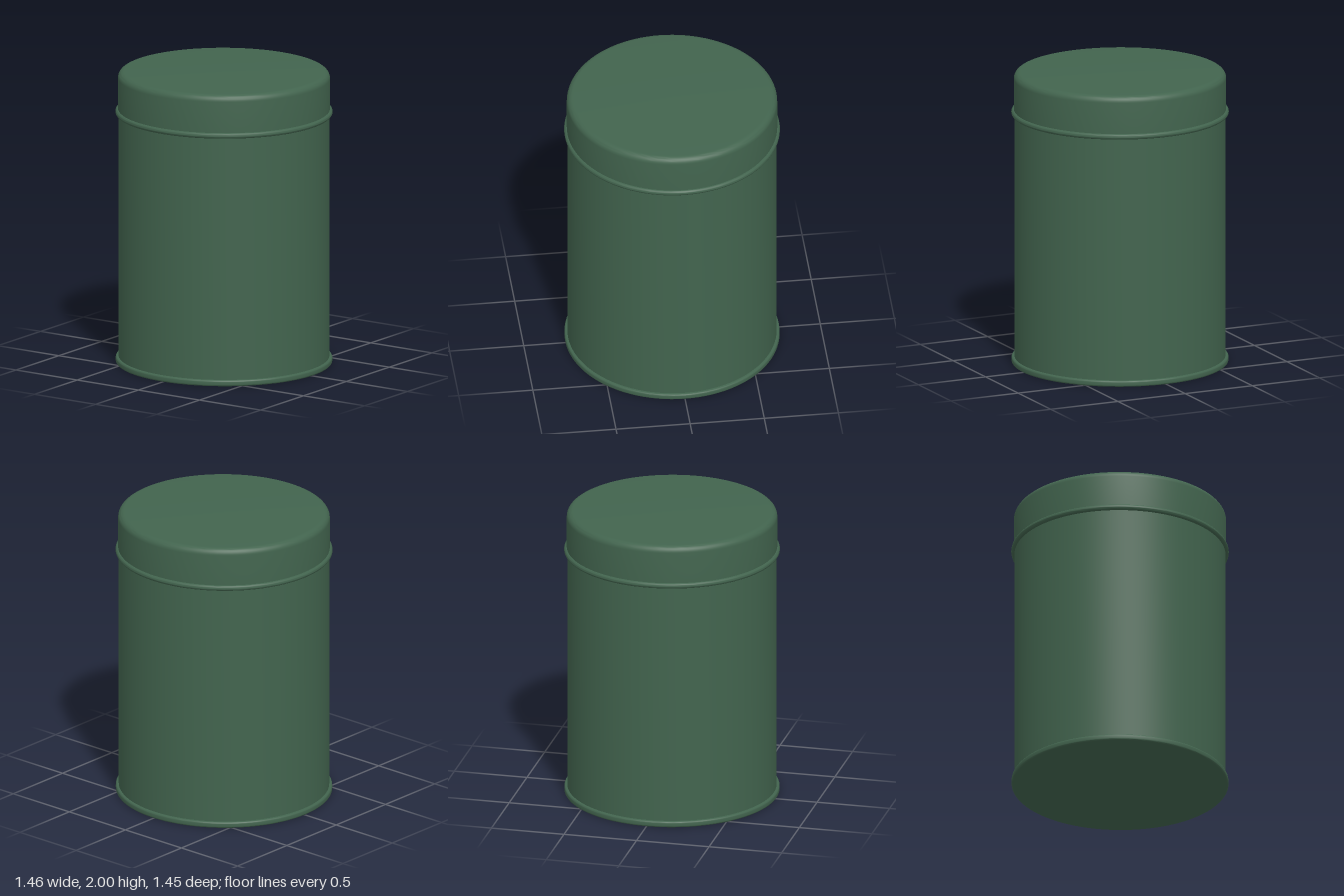
import * as THREE from 'three';
import { toCreasedNormals } from 'three/addons/utils/BufferGeometryUtils.js';

const SEGMENTS = 96;

// Points along a quarter or half round edge, angles in degrees
function arc(cx, cy, r, from, to, steps = 6) {
  return Array.from({ length: steps + 1 }, (_, i) => {
    const a = THREE.MathUtils.degToRad(from + ((to - from) * i) / steps);
    return [cx + r * Math.cos(a), cy + r * Math.sin(a)];
  });
}

// Turned part from a profile running bottom to top
function turned(name, profile, material) {
  const points = profile.map(([x, y]) => new THREE.Vector2(x, y));
  const geometry = toCreasedNormals(new THREE.LatheGeometry(points, SEGMENTS), 0.7);
  const mesh = new THREE.Mesh(geometry, material);
  mesh.name = name;
  return mesh;
}

export function createModel() {
  const green = new THREE.MeshStandardMaterial({ color: 0x42644e });
  green.name = 'tin green';

  const tin = new THREE.Group();
  tin.name = 'tin';

  // Base rim with the flat underside
  tin.add(turned('baseRim', [
    [0, 0], [0.715, 0],
    ...arc(0.716, 0.012, 0.012, -90, 0, 4),
    ...arc(0.716, 0.03, 0.012, 0, 90, 4),
    [0.705, 0.042],
  ], green));

  // Straight body wall
  tin.add(turned('body', [[0.708, 0.03], [0.708, 1.72]], green));

  // Rolled bead on the lower edge of the lid
  tin.add(turned('lidBead', [
    [0.7, 1.704],
    ...arc(0.711, 1.723, 0.019, -90, 90, 10),
    [0.7, 1.742],
  ], green));

  // Lid with a rounded top edge
  tin.add(turned('lid', [
    [0.712, 1.72],
    ...arc(0.667, 1.955, 0.045, 0, 90, 8),
    [0, 2],
  ], green));

  // Slightly oval in plan
  tin.scale.z = 0.99;

  const model = new THREE.Group();
  model.name = 'canister';
  model.add(tin);
  return model;
}
